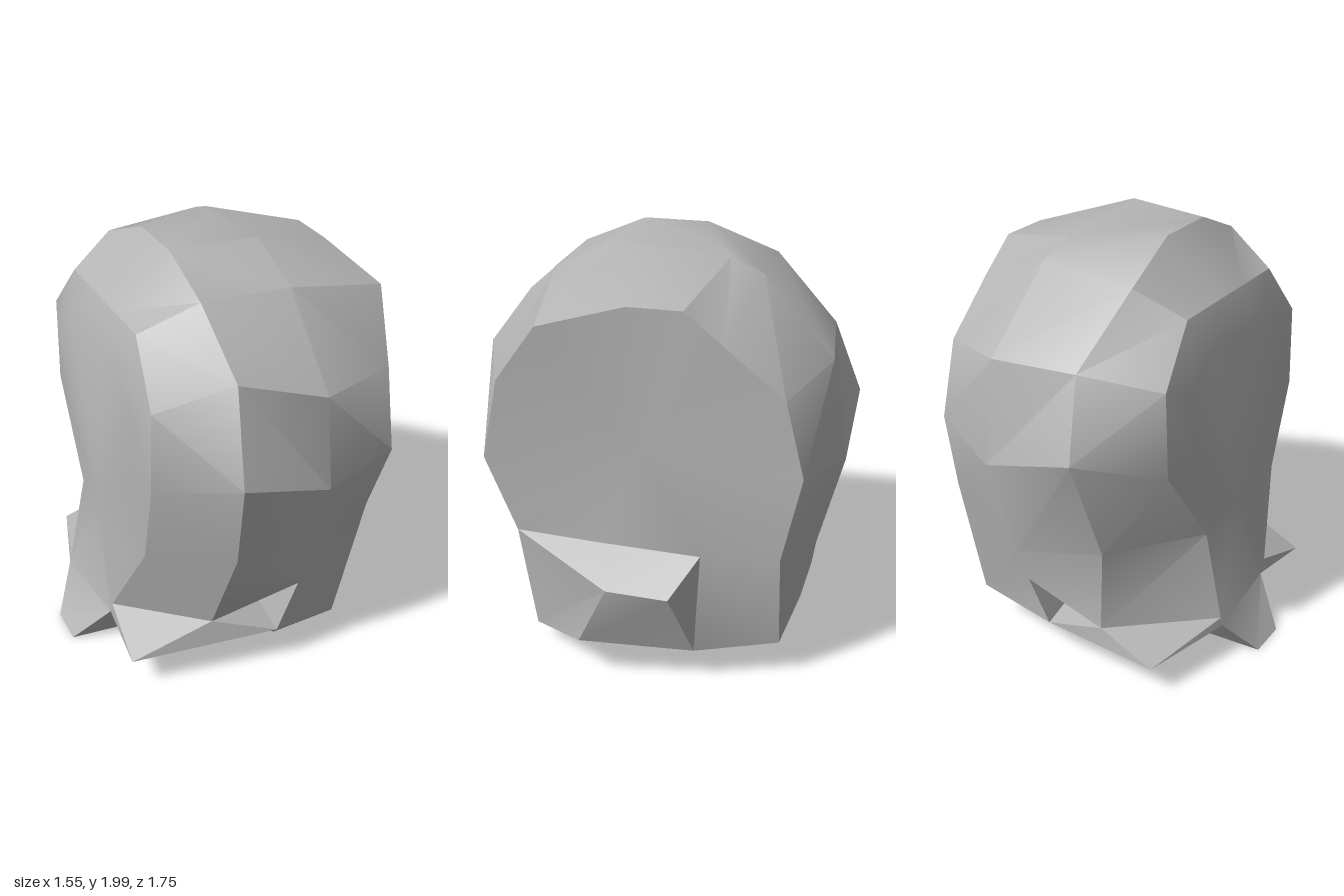
import * as THREE from 'three';
import { toCreasedNormals } from 'three/addons/utils/BufferGeometryUtils.js';

// Repeats one point, for places where a section narrows to a corner
const repeat = (n, point) => Array(n).fill(point);

// A copy of a section with a few points replaced
const vary = (ring, changes) => Object.assign([...ring], changes);

// Cross-sections from left (-x) to right (+x). Each runs from the top, down
// the front, under the base and up the back: [x, y, z].
const frontLip = [0.03, 0.22, 0.68];
const backLip = [0.03, 0.2, -0.67];
const frontSpike = [-0.65, 0.18, 0.55];
const backSpike = [-0.53, 0.17, -0.67];

const outerRim = [
  [-0.5, 1.74, 0.12], [-0.5, 1.74, 0.36], [-0.53, 1.48, 0.57], [-0.54, 1.1, 0.57], [-0.53, 0.68, 0.45],
  [-0.62, 0.28, 0.24], ...repeat(2, frontSpike), [-0.62, 0.21, 0.21], [-0.78, 0.01, 0.09],
  [-0.78, 0.01, -0.1], [-0.66, 0.2, -0.25], ...repeat(2, backSpike), [-0.65, 0.24, -0.25],
  [-0.56, 0.67, -0.25], [-0.54, 1.1, -0.56], [-0.53, 1.5, -0.57], [-0.5, 1.74, -0.36], [-0.5, 1.74, -0.12],
];
const ridge = [
  [-0.26, 1.99, 0.17], [-0.25, 1.87, 0.45], [-0.22, 1.62, 0.73], [-0.26, 1.21, 0.88], [-0.23, 0.77, 0.77],
  ...repeat(2, [-0.27, 0.32, 0.6]), frontLip, [-0.43, 0.17, 0.1], [-0.27, 0.04, 0.17],
  [-0.27, 0.04, -0.17], [-0.43, 0.17, -0.25], backLip, ...repeat(2, [-0.25, 0.27, -0.65]),
  [-0.27, 0.68, -0.66], [-0.26, 1.22, -0.87], [-0.21, 1.57, -0.74], [-0.29, 1.86, -0.45], [-0.26, 1.99, -0.13],
];
const middle = [
  [0.13, 2.0, 0.21], [0.15, 1.87, 0.48], [0.17, 1.5, 0.79], [0.17, 1.08, 0.85], [0.13, 0.6, 0.73],
  [0.11, 0.5, 0.72], ...repeat(2, frontLip), [0.1, 0.06, 0.53], [0.04, 0.04, 0.17],
  [0.04, 0.04, -0.15], [0.08, 0.06, -0.52], ...repeat(2, backLip), [0.1, 0.45, -0.72],
  [0.14, 0.6, -0.74], [0.2, 1.08, -0.85], [0.2, 1.55, -0.77], [0.15, 1.9, -0.45], [0.13, 1.96, -0.3],
];
// Same section with the two notches pushed inwards
const inset = vary(middle, { 6: [0.03, 0.26, 0.5], 13: [0.03, 0.25, -0.5] });
const rightRim = [
  [0.56, 1.86, 0.06], [0.63, 1.77, 0.43], [0.56, 1.48, 0.64], [0.56, 1.1, 0.72], [0.54, 0.73, 0.59],
  ...repeat(4, [0.4, 0.12, 0.57]), [0.67, 0.25, 0.28],
  [0.57, 0.2, -0.24], ...repeat(4, [0.45, 0.22, -0.62]),
  [0.58, 0.75, -0.62], [0.56, 1.15, -0.7], [0.55, 1.5, -0.61], [0.56, 1.72, -0.35], [0.56, 1.86, -0.18],
];

// Collects triangles, skipping those with coincident corners
function addTriangle(out, a, b, c) {
  const same = (p, q) => p.every((v, i) => v === q[i]);
  if (!same(a, b) && !same(b, c) && !same(a, c)) out.push(...a, ...b, ...c);
}

// Joins two sections; the quads from index turnAt on are split the other way
function addStrip(out, r, s, turnAt = r.length) {
  for (let j = 0; j < r.length; j++) {
    const k = (j + 1) % r.length;
    if (j < turnAt) {
      addTriangle(out, r[j], r[k], s[k]);
      addTriangle(out, r[j], s[k], s[j]);
    } else {
      addTriangle(out, r[j], r[k], s[j]);
      addTriangle(out, r[k], s[k], s[j]);
    }
  }
}

function addCap(out, ring, centre, flip) {
  ring.forEach((p, j) => {
    const q = ring[(j + 1) % ring.length];
    if (flip) addTriangle(out, centre, q, p);
    else addTriangle(out, centre, p, q);
  });
}

function makeMesh(name, triangles, material) {
  const flat = new THREE.BufferGeometry();
  flat.setAttribute('position', new THREE.Float32BufferAttribute(triangles, 3));
  const mesh = new THREE.Mesh(toCreasedNormals(flat, 0.5), material);
  mesh.name = name;
  return mesh;
}

export function createModel() {
  const group = new THREE.Group();
  group.name = 'facetedShell';
  const stone = new THREE.MeshStandardMaterial({ color: 0xb4b4b4, side: THREE.DoubleSide });
  stone.name = 'paleGrey';

  // Rounded body with notched front and back lips
  const body = [];
  const rings = [outerRim, ridge, inset, middle, rightRim];
  for (let i = 0; i < rings.length - 1; i++) addStrip(body, rings[i], rings[i + 1], 10);
  group.add(makeMesh('body', body, stone));

  // Flat side at -x with its low pointed flare
  const leftSide = [];
  const leftInner = vary(outerRim, {
    0: [-0.57, 1.57, 0.1], 1: [-0.57, 1.57, 0.28], 2: [-0.57, 1.4, 0.42],
    3: [-0.57, 1.05, 0.42], 4: [-0.57, 0.7, 0.32],
    6: outerRim[5], 7: outerRim[5], 9: outerRim[8], 10: outerRim[11],
    12: outerRim[14], 13: outerRim[14],
    16: [-0.57, 1.1, -0.4], 17: [-0.57, 1.45, -0.45], 18: [-0.57, 1.57, -0.28], 19: [-0.57, 1.57, -0.1],
  });
  addStrip(leftSide, leftInner, outerRim);
  addCap(leftSide, leftInner, [-0.575, 0.72, 0], true);
  group.add(makeMesh('leftSide', leftSide, stone));

  // Flat side at +x with its wedge-shaped flare
  const rightSide = [];
  const notch = [0.6, 0.735, -0.27];
  const corner = rightRim[4];
  const wedge = vary(rightRim, {
    5: corner, 6: corner, 7: corner, 8: corner,
    9: [0.77, 0.61, 0.12], 10: [0.77, 0.6, -0.16],
    11: notch, 12: notch, 13: notch, 14: notch,
  });
  const rightInner = vary(wedge, { 9: [0.57, 0.73, 0.2], 10: notch });
  addStrip(rightSide, rightRim, wedge);
  addStrip(rightSide, wedge, rightInner);
  addCap(rightSide, rightInner, [0.565, 1.2, 0], false);
  group.add(makeMesh('rightSide', rightSide, stone));

  return group;
}
